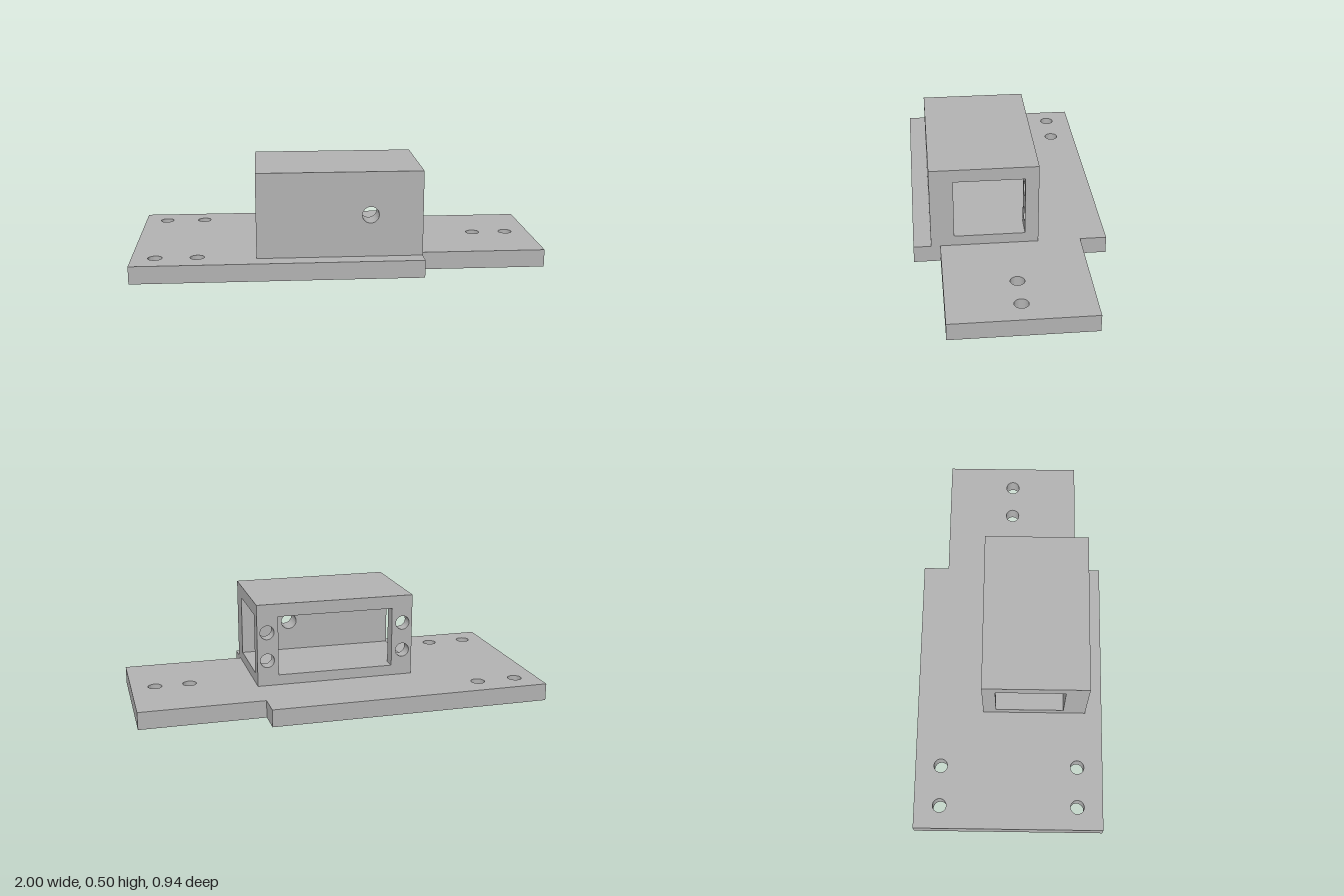
import * as THREE from 'three';
import { toCreasedNormals } from 'three/addons/utils/BufferGeometryUtils.js';

const grey = new THREE.MeshStandardMaterial({ color: 0xb2b2b2 });
grey.name = 'grey';

function polygon(points) {
  return new THREE.Shape(points.map(([x, y]) => new THREE.Vector2(x, y)));
}

function drill(shape, x, y, r) {
  shape.holes.push(new THREE.Path().absarc(x, y, r, 0, Math.PI * 2, true));
}

function rect(x0, y0, x1, y1) {
  return [[x0, y0], [x1, y0], [x1, y1], [x0, y1]];
}

function plate(name, shape, depth) {
  const geometry = new THREE.ExtrudeGeometry(shape, { depth, bevelEnabled: false, curveSegments: 32 });
  const mesh = new THREE.Mesh(toCreasedNormals(geometry, Math.PI / 6), grey);
  mesh.name = name;
  return mesh;
}

export function createModel() {
  const model = new THREE.Group();
  model.name = 'mountingBracket';

  const baseTop = 0.086, top = 0.5;
  const left = 0.392, right = -0.405; // housing ends
  const front = 0.385, back = -0.135;
  const innerFront = 0.272, innerBack = -0.07, innerBottom = 0.137, innerTop = 0.436;

  // Base plate with a narrower tongue and six screw holes
  const w = 0.47, t = 0.341;
  const baseShape = polygon([[-1, -w], [left, -w], [left, -t], [1, -t], [1, t], [left, t], [left, w], [-1, w]]);
  for (const x of [-0.887, -0.687]) for (const z of [-0.343, 0.343]) drill(baseShape, x, z, 0.034);
  for (const x of [0.712, 0.883]) drill(baseShape, x, 0, 0.034);
  const base = plate('basePlate', baseShape, baseTop);
  base.rotation.x = -Math.PI / 2;
  model.add(base);

  const housing = new THREE.Group();
  housing.name = 'housing';
  model.add(housing);

  // Thick front wall with one hole
  const frontShape = polygon(rect(right, baseTop, left, top));
  drill(frontShape, 0.14, 0.29, 0.04);
  const frontWall = plate('frontWall', frontShape, front - innerFront);
  frontWall.position.z = innerFront;
  housing.add(frontWall);

  // Back wall with a window and two screw holes on each side
  const backShape = polygon(rect(right, baseTop, left, top));
  backShape.holes.push(polygon(rect(right + 0.106, innerBottom, left - 0.106, innerTop)));
  for (const x of [right + 0.05, left - 0.05]) for (const y of [0.215, 0.358]) drill(backShape, x, y, 0.035);
  const backWall = plate('backWall', backShape, innerBack - back);
  backWall.position.z = back;
  housing.add(backWall);

  // Floor and roof joining the two walls
  for (const [name, y0, y1] of [['floor', baseTop, innerBottom], ['roof', innerTop, top]]) {
    const slab = new THREE.Mesh(new THREE.BoxGeometry(left - right, y1 - y0, innerFront - innerBack), grey);
    slab.name = name;
    slab.position.set((left + right) / 2, (y0 + y1) / 2, (innerFront + innerBack) / 2);
    housing.add(slab);
  }

  return model;
}
